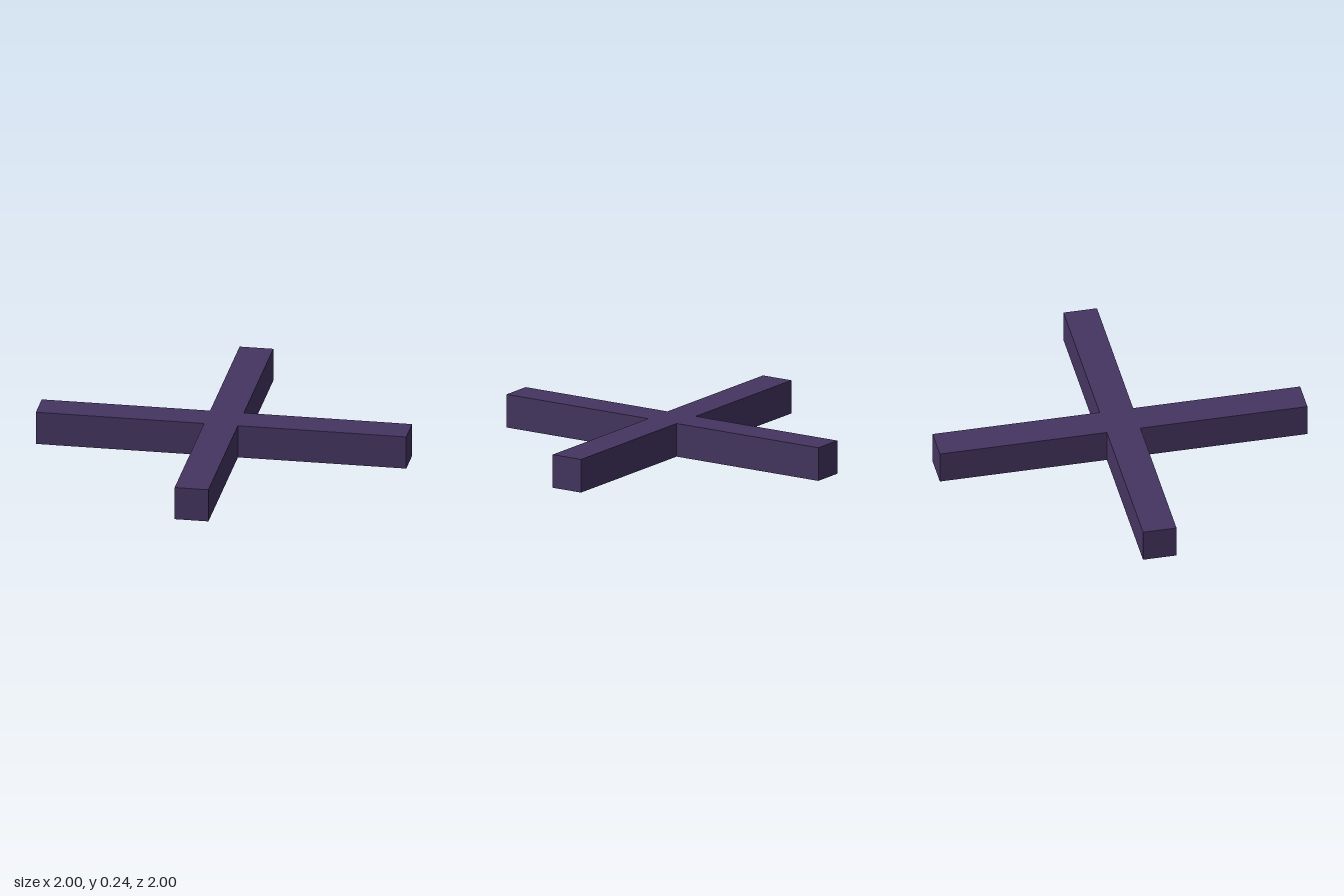
import * as THREE from 'three';

const HEIGHT = 0.236;
const NOTCH = 0.167; // distance from the centre to each inner corner

export function createModel() {
  const model = new THREE.Group();
  model.name = 'diagonalCross';

  // Outline of four equal diagonal arms: one inner corner and two end corners each
  const points = [];
  for (let i = 0; i < 4; i++) {
    for (const [x, y] of [[NOTCH, 0], [1, 1 - NOTCH], [1 - NOTCH, 1]]) {
      points.push(new THREE.Vector2(x, y).rotateAround(new THREE.Vector2(), i * Math.PI / 2));
    }
  }

  // Extrude upwards so the cross lies flat on the ground
  const geometry = new THREE.ExtrudeGeometry(new THREE.Shape(points), { depth: HEIGHT, bevelEnabled: false });
  geometry.rotateX(-Math.PI / 2);

  const material = new THREE.MeshStandardMaterial({ color: 0x443560 });
  const cross = new THREE.Mesh(geometry, material);
  cross.name = 'crossedBars';
  model.add(cross);
  return model;
}
